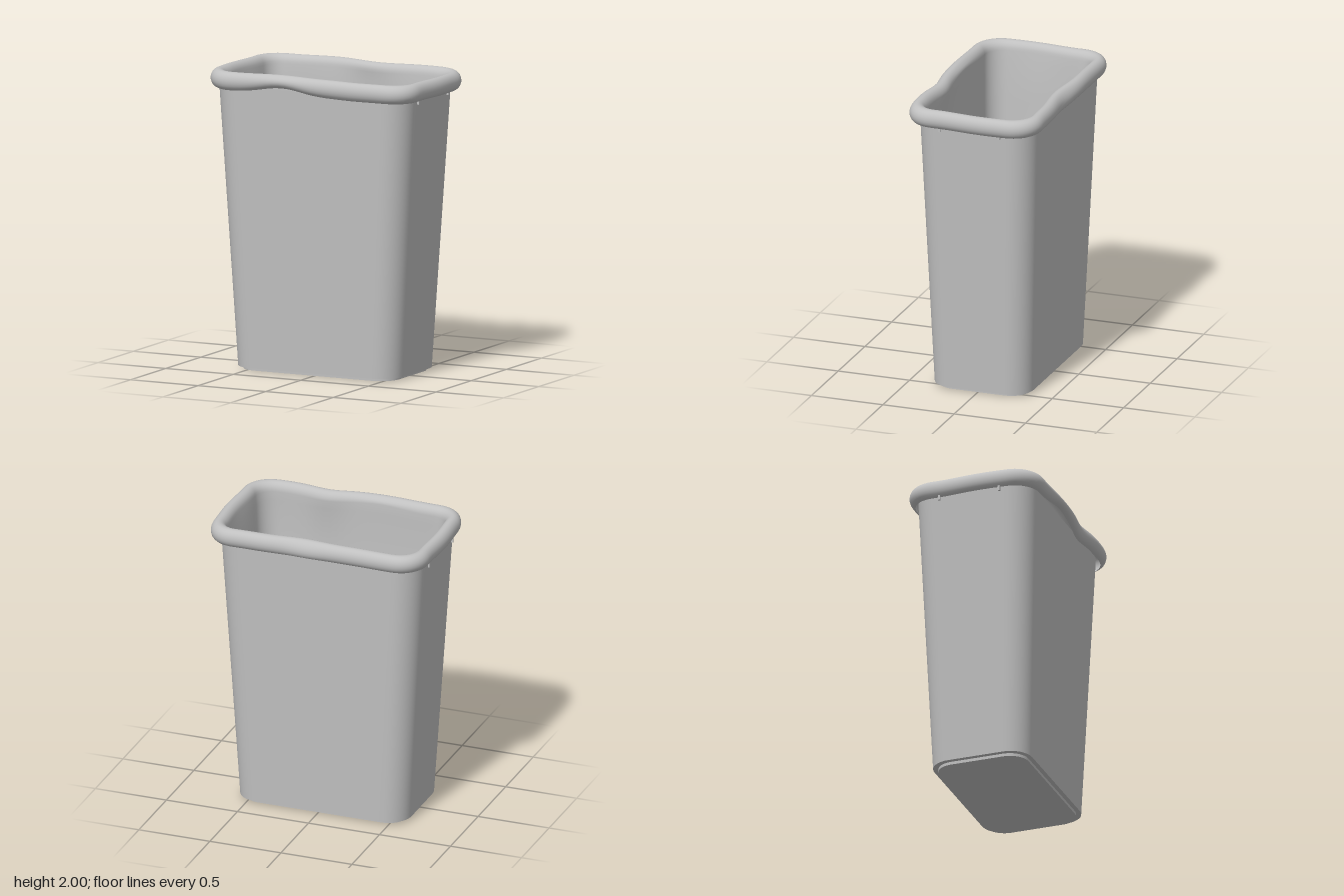
import * as THREE from 'three';
import { toCreasedNormals } from 'three/addons/utils/BufferGeometryUtils.js';

const CORNER = 10, LONG = 24, SHORT = 12;

// Rounded-rectangle loop, always with the same number of points
function ring(y, hx, hz, r, cx = 0, cz = 0) {
  const pts = [];
  const signs = [[1, 1], [-1, 1], [-1, -1], [1, -1]];
  const radius = Math.min(r, hx, hz);
  const at = (q, a) => new THREE.Vector3(
    cx + signs[q][0] * (hx - radius) + radius * Math.cos(a), y,
    cz + signs[q][1] * (hz - radius) + radius * Math.sin(a));
  for (let q = 0; q < 4; q++) {
    const end = (q + 1) * Math.PI / 2;
    for (let i = 0; i <= CORNER; i++) pts.push(at(q, (q + i / CORNER) * Math.PI / 2));
    const from = at(q, end), to = at((q + 1) % 4, end);
    const n = q % 2 ? SHORT : LONG;
    for (let i = 1; i < n; i++) pts.push(from.clone().lerp(to, i / n));
  }
  return pts;
}

// Skin a series of loops
function loft(rings, crease) {
  const n = rings[0].length, pos = [], idx = [];
  rings.forEach(loop => loop.forEach(p => pos.push(p.x, p.y, p.z)));
  for (let i = 0; i < rings.length - 1; i++) {
    for (let j = 0; j < n; j++) {
      const k = (j + 1) % n;
      const a = i * n + j, b = i * n + k, c = a + n, d = b + n;
      idx.push(a, c, b, b, c, d);
    }
  }
  const g = new THREE.BufferGeometry();
  g.setAttribute('position', new THREE.Float32BufferAttribute(pos, 3));
  g.setIndex(idx);
  return toCreasedNormals(g, crease);
}

const bump = (x, centre, width) => Math.exp(-(((x - centre) / width) ** 2));

// Uneven folds of the liner where it rolls over the rim
function ruffle(p, amount) {
  const { x, y, z } = p;
  const low = THREE.MathUtils.clamp((1.98 - y) / 0.1, 0, 1);
  const front = THREE.MathUtils.smoothstep(z, 0.2, 0.36);
  const back = THREE.MathUtils.smoothstep(-z, 0.2, 0.36);
  const side = THREE.MathUtils.smoothstep(Math.abs(x), 0.5, 0.66);
  p.y += amount * (front * (0.035 * low * bump(x, -0.18, 0.2) + 0.005 * bump(x, -0.25, 0.3))
    - 0.006 * THREE.MathUtils.smoothstep(x, -0.2, 0.7) + 0.003 * Math.sin(9 * x + 7 * z));
  p.z += amount * (front * (-0.022 * bump(x, 0.2, 0.13) - 0.006 * bump(x, 0.62, 0.1))
    + back * (0.013 * bump(x, 0.18, 0.14) - 0.005 * bump(x, -0.2, 0.15)
      + 0.02 * (1 - low) * bump(x, 0.05, 0.15)));
  p.x += amount * side * 0.006 * Math.sin(11 * z + 2 * Math.sign(x));
  return p;
}

export function createModel() {
  const model = new THREE.Group();
  const grey = new THREE.MeshStandardMaterial({ color: 0xc0c0c0, side: THREE.DoubleSide });
  grey.name = 'grey plastic';
  const add = (name, geometry) => {
    const mesh = new THREE.Mesh(geometry, grey);
    mesh.name = name;
    model.add(mesh);
    return mesh;
  };

  // Tapered bin with a recessed foot, from the underside up
  const bin = [
    [0, 0.001, 0.001, 0.001], [0, 0.565, 0.312, 0.13], [0.02, 0.565, 0.312, 0.13],
    [0.02, 0.597, 0.342, 0.15], [0.95, 0.653, 0.375, 0.16], [1.9, 0.711, 0.408, 0.17],
  ];
  add('bin', loft(bin.map(([y, hx, hz, r]) => ring(y, hx, hz, r, -0.01, -0.005)), 0.6));

  // Liner: rolled over the rim, then down the inside to the floor
  const liner = [];
  for (let i = 0; i <= 16; i++) {
    const a = THREE.MathUtils.degToRad(-75 + i * 255 / 16);
    const c = Math.cos(a), s = Math.sin(a);
    liner.push(ring(1.935 + 0.062 * s, 0.72 + 0.05 * c, 0.415 + 0.05 * c, 0.16 + 0.04 * c)
      .map(p => ruffle(p, 1)));
  }
  const inside = [
    [1.87, 0.66, 0.362, 0.12], [1.6, 0.645, 0.353, 0.12], [1, 0.61, 0.33, 0.12],
    [0.4, 0.565, 0.305, 0.11], [0.04, 0.53, 0.283, 0.1], [0.04, 0.001, 0.001, 0.001],
  ];
  inside.forEach(([y, hx, hz, r], i) => {
    const loop = ring(y, hx, hz, r, 0, 0.005);
    liner.push(i < 2 ? loop.map(p => ruffle(p, 0.5 - i * 0.3)) : loop);
  });
  add('liner', loft(liner, 1.0));

  // Small tabs hanging under the rim at both ends
  for (const x of [-0.737, 0.72]) {
    for (const z of [-0.21, 0.21]) {
      const tab = add('rimTab', new THREE.BoxGeometry(0.014, 0.06, 0.014));
      tab.position.set(x, 1.878, z);
    }
  }
  return model;
}
